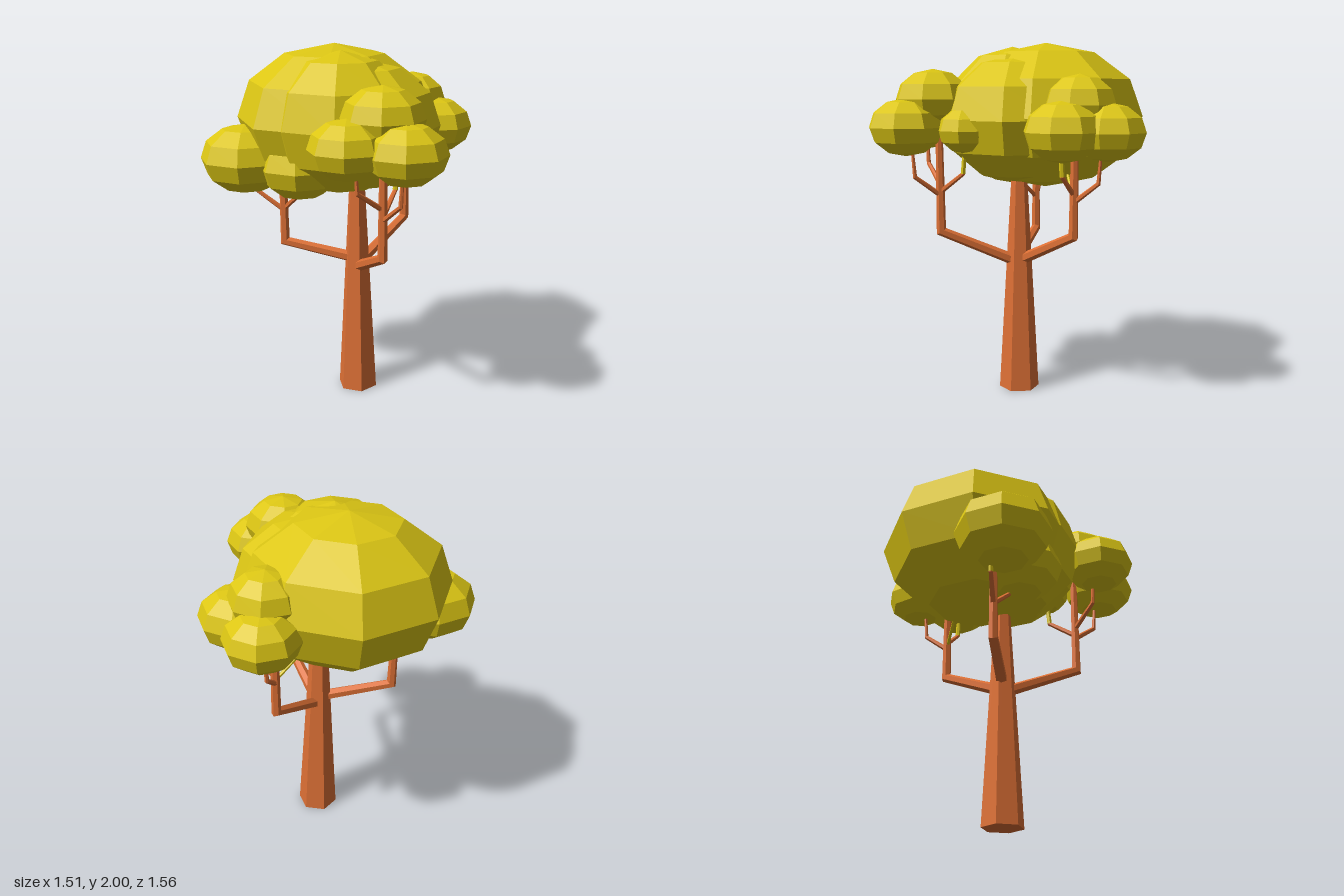
import * as THREE from 'three';

const bark = new THREE.MeshStandardMaterial({ color: 0xdd7035, flatShading: true });
const leaf = new THREE.MeshStandardMaterial({ color: 0xdcc614, flatShading: true });

function addMesh(parent, name, geometry, material) {
  const mesh = new THREE.Mesh(geometry, material);
  mesh.name = name;
  parent.add(mesh);
  return mesh;
}

// Six-sided limb with mitred bends through points of one upright plane, tapering from r0 to r1
function addLimb(parent, name, p, r0, r1, material) {
  const last = p.length - 1;
  const run = p[last].clone().sub(p[0]);
  const n = new THREE.Vector3(run.z, 0, -run.x).normalize();
  const direction = (i) => p[i + 1].clone().sub(p[i]).normalize();
  const rings = p.map((c, i) => {
    const before = direction(Math.max(i - 1, 0));
    const after = direction(Math.min(i, last - 1));
    const t = before.clone().add(after).normalize();
    const b = n.clone().cross(t).multiplyScalar(1 / t.dot(before));
    return { c, b, r: THREE.MathUtils.lerp(r0, r1, i / last) };
  });
  const geometry = new THREE.CylinderGeometry(1, 1, 1, 6, last);
  const pos = geometry.attributes.position;
  for (let i = 0; i < pos.count; i++) {
    const { c, b, r } = rings[Math.round((pos.getY(i) + 0.5) * last)];
    const v = c.clone().addScaledVector(n, pos.getX(i) * r).addScaledVector(b, pos.getZ(i) * r);
    pos.setXYZ(i, v.x, v.y, v.z);
  }
  geometry.computeVertexNormals();
  addMesh(parent, name, geometry, material);
}

// Faceted, flattened clump of leaves
function addClump(parent, name, x, y, z, r, flatness, turn = 0) {
  const clump = addMesh(parent, name, new THREE.SphereGeometry(r, 8, 6), leaf);
  clump.position.set(x, y, z);
  clump.scale.y = flatness;
  clump.rotation.y = turn;
}

// Twig leaving an upright limb: out by (dx, dz), then up into the leaves, with a green tip if asked
function addTwig(parent, foot, dx, dz, greenTip) {
  const bend = foot.clone().add(new THREE.Vector3(dx, 0.11, dz));
  const tip = foot.clone().add(new THREE.Vector3(dx * 1.08, 0.25, dz * 1.08));
  addLimb(parent, 'twig', [foot, bend, tip], 0.015, 0.009, bark);
  if (greenTip) addLimb(parent, 'greenTip', [bend, tip], 0.014, 0.012, leaf);
}

// Side branch: out from the trunk at rootY, up from the elbow, with twigs at their own heights
function addBranch(tree, name, rootY, elbow, topY, twigs) {
  const branch = new THREE.Group();
  branch.name = name;
  tree.add(branch);
  const root = new THREE.Vector3(-0.045, rootY, -0.04);
  const lean = elbow.clone().sub(root).setY(0).multiplyScalar(0.01);
  const top = elbow.clone().add(lean).setY(topY);
  addLimb(branch, 'limb', [root, elbow, top], 0.033, 0.02, bark);
  for (const [y, dx, dz, greenTip] of twigs) {
    addTwig(branch, elbow.clone().setY(y), dx, dz, greenTip);
  }
  return branch;
}

export function createModel() {
  const tree = new THREE.Group();
  tree.name = 'tree';

  // Trunk, tapering up into the crown
  const trunkGeometry = new THREE.CylinderGeometry(0.04, 0.115, 1.35, 6).rotateY(Math.PI / 6);
  addMesh(tree, 'trunk', trunkGeometry, bark).position.set(-0.045, 0.675, -0.04);

  // Crown of overlapping clumps
  const crown = new THREE.Group();
  crown.name = 'crown';
  tree.add(crown);
  addClump(crown, 'mainClump', -0.045, 1.59, -0.225, 0.555, 0.74);
  addClump(crown, 'frontClump', -0.04, 1.575, -0.02, 0.44, 0.81);
  addClump(crown, 'upperClump', -0.14, 1.59, -0.06, 0.4, 0.97);
  addClump(crown, 'lowerClump', -0.33, 1.36, -0.18, 0.235, 0.77);
  addClump(crown, 'smallClump', -0.03, 1.52, 0.33, 0.15, 0.83);

  // Left branch, its clumps slightly turned
  const leftElbow = new THREE.Vector3(0.382, 0.955, -0.095);
  const left = addBranch(tree, 'leftBranch', 0.76, leftElbow, 1.52, [
    [1.14, 0.13, -0.06],
    [1.18, 0.05, 0.12, true],
  ]);
  const sproutEnd = new THREE.Vector3(0.26, 1.275, -0.15);
  addLimb(left, 'greenSprout', [leftElbow.clone().setY(1.16), sproutEnd], 0.01, 0.008, leaf);
  addClump(left, 'leafClump', 0.56, 1.52, -0.175, 0.2, 0.77, -0.17);
  addClump(left, 'leafClump', 0.475, 1.525, 0.06, 0.208, 0.77, -0.17);
  addClump(left, 'leafClump', 0.43, 1.66, -0.09, 0.195, 0.82, -0.17);

  // Front branch
  const front = addBranch(tree, 'frontBranch', 0.75, new THREE.Vector3(-0.23, 0.945, 0.37), 1.52, [
    [1.15, -0.02, 0.15],
    [1.21, -0.16, -0.015],
    [1.17, 0.145, -0.06, true],
  ]);
  addClump(front, 'leafClump', -0.26, 1.535, 0.565, 0.21, 0.75);
  addClump(front, 'leafClump', -0.45, 1.55, 0.35, 0.2, 0.77);
  addClump(front, 'leafClump', -0.255, 1.685, 0.395, 0.215, 0.77);

  // Back branch
  const back = addBranch(tree, 'backBranch', 0.8, new THREE.Vector3(-0.318, 0.885, -0.36), 1.4, [
    [1.07, -0.1, -0.11, true],
    [1.08, 0.02, 0.13],
  ]);
  addClump(back, 'leafClump', -0.495, 1.385, -0.455, 0.258, 0.74);

  return tree;
}
